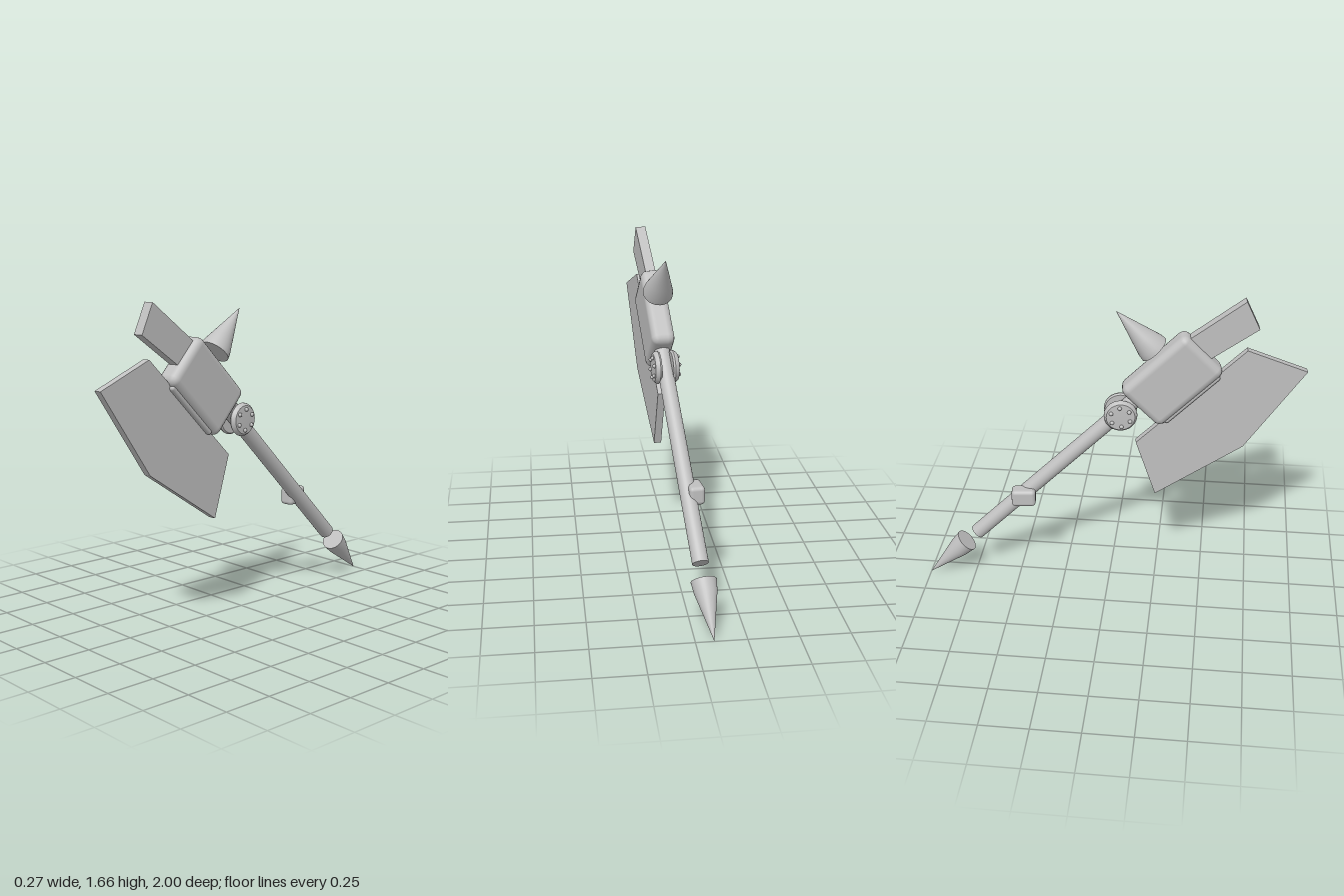
import * as THREE from 'three';
import { toCreasedNormals } from 'three/addons/utils/BufferGeometryUtils.js';
import { RoundedBoxGeometry } from 'three/addons/geometries/RoundedBoxGeometry.js';

const YAW = 0.105;
const SHAFT_ANGLE = 0.772; // slope of the shaft above horizontal

export function createModel() {
  const steel = new THREE.MeshStandardMaterial({ color: 0xc0c0c0 });
  steel.name = 'grey steel';

  // The weapon is laid out in its own plane: X runs forward, Y up, Z is thickness
  const axe = new THREE.Group();
  axe.name = 'battleAxe';
  axe.rotation.y = -Math.PI / 2 + YAW;
  axe.position.x = 0.015;

  const add = (name, geometry, x = 0, y = 0, z = 0, parent = axe) => {
    const mesh = new THREE.Mesh(geometry, steel);
    mesh.name = name;
    mesh.position.set(x, y, z);
    parent.add(mesh);
    return mesh;
  };

  const plate = (points, depth) => {
    const shape = new THREE.Shape(points.map(([x, y]) => new THREE.Vector2(x, y)));
    return new THREE.ExtrudeGeometry(shape, { depth, bevelEnabled: false }).translate(0, 0, -depth / 2);
  };

  const turned = (profile, sides = 32) => toCreasedNormals(
    new THREE.LatheGeometry(profile.map(([r, y]) => new THREE.Vector2(r, y)), sides), 0.6);

  // Turns a part so that its +Y runs from one point to another
  const aim = (mesh, [x0, y0], [x1, y1]) => {
    mesh.position.set(x0, y0, 0);
    mesh.rotation.z = Math.atan2(x0 - x1, y1 - y0);
  };

  // Shaft, running up into the head
  const foot = [-0.73, 0.27], neck = [0.19, 1.16];
  const length = Math.hypot(neck[0] - foot[0], neck[1] - foot[1]);
  const shaft = add('shaft', new THREE.CylinderGeometry(0.041, 0.041, length, 32).translate(0, length / 2, 0));
  aim(shaft, foot, neck);

  // Small block on the side of the shaft
  add('gripBlock', new RoundedBoxGeometry(0.128, 0.096, 0.08, 2, 0.02), -0.463, 0.53, 0.037);

  // Pointed pommel and head spike, both floating free
  const pommel = add('pommelSpike', turned([[0, 0], [0.064, 0], [0.057, 0.06], [0, 0.3]]));
  aim(pommel, [-0.793, 0.21], [-1.003, 0]);
  const spike = add('headSpike', turned([[0, 0], [0.08, 0], [0.076, 0.03], [0.058, 0.09], [0, 0.285]]));
  aim(spike, [0.222, 1.39], [0.03, 1.6]);

  // Head block and the thin slab under it
  const head = new THREE.Group();
  head.name = 'head';
  head.position.set(0.315, 1.225, 0);
  head.rotation.z = SHAFT_ANGLE;
  axe.add(head);
  add('headBlock', new RoundedBoxGeometry(0.457, 0.3, 0.125, 2, 0.04), 0, 0, 0, head);
  add('bladeMount', new RoundedBoxGeometry(0.38, 0.06, 0.085, 2, 0.015), 0, -0.135, 0, head);

  // Blade and blunt top bar
  add('blade', plate([[1.004, 1.27], [0.693, 1.39], [0.136, 0.855], [0.242, 0.535], [0.698, 0.83]], 0.04));
  add('topBar', plate([[0.673, 1.66], [0.745, 1.51], [0.46, 1.315], [0.36, 1.43]], 0.055));

  // Domed pivot discs with a ring of studs on both sides
  for (const side of [1, -1]) {
    const pivot = new THREE.Group();
    pivot.name = side > 0 ? 'rightPivot' : 'leftPivot';
    pivot.position.set(0.055, 1.03, side * 0.03);
    pivot.rotation.x = side * Math.PI / 2;
    axe.add(pivot);
    add('pivotDisc', turned([[0, 0], [0.08, 0], [0.087, 0.01], [0.085, 0.02], [0.074, 0.033], [0, 0.037]]), 0, 0, 0, pivot);
    for (let i = 0; i < 6; i++) {
      const a = i * Math.PI / 3 + 0.09;
      add('stud', new THREE.SphereGeometry(0.011, 12, 8), 0.054 * Math.sin(a), 0.036, 0.054 * Math.cos(a) * side, pivot);
    }
  }

  const model = new THREE.Group();
  model.name = 'model';
  model.add(axe);
  return model;
}
